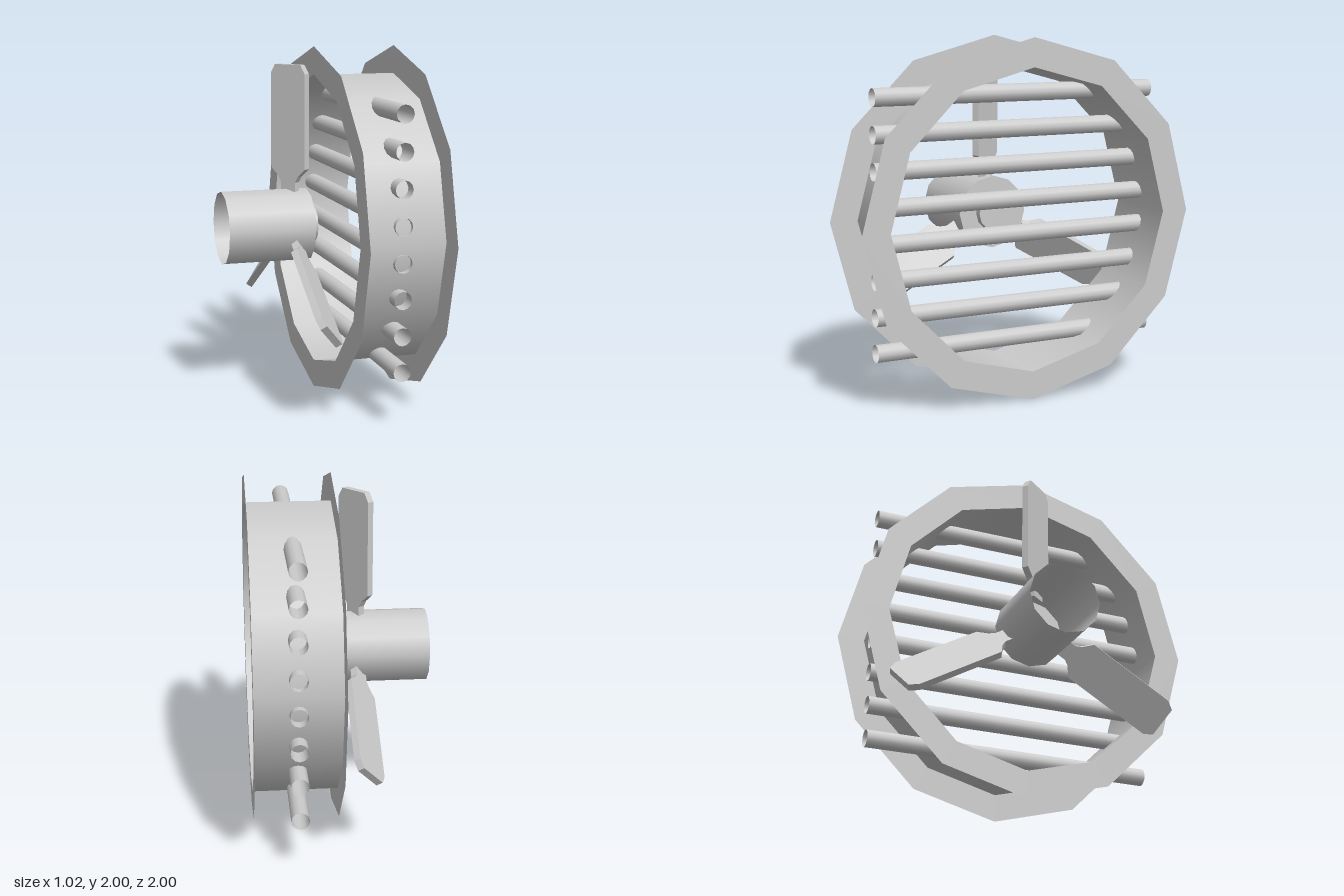
import * as THREE from 'three';

const SIDES = 12;
const HUB_Y = 0.98, HUB_Z = -0.01;

export function createModel() {
  const model = new THREE.Group();
  const sheet = new THREE.MeshStandardMaterial({ color: 0xcccccc, side: THREE.DoubleSide });
  const solid = new THREE.MeshStandardMaterial({ color: 0xcccccc, flatShading: true });

  const add = (name, geometry, material, x, y, z, parent = model) => {
    const mesh = new THREE.Mesh(geometry, material);
    mesh.name = name;
    mesh.position.set(x, y, z);
    parent.add(mesh);
    return mesh;
  };
  // open smooth tube running along x
  const tubeX = (r, length) =>
    new THREE.CylinderGeometry(r, r, length, SIDES, 1, true).rotateZ(Math.PI / 2);
  // flat disc facing +x
  const discX = (r) => new THREE.CircleGeometry(r, SIDES).rotateY(Math.PI / 2);

  // duct wall with a thin flange on each end
  add('ductWall', tubeX(0.84, 0.48), sheet, 0.27, 1, 0);
  for (const [name, x] of [['rearFlange', 0.03], ['frontFlange', 0.51]]) {
    add(name, new THREE.RingGeometry(0.84, 1, SIDES).rotateY(Math.PI / 2), sheet, x, 1, 0);
  }

  // row of open grille bars passing through the duct
  const grille = new THREE.Group();
  grille.name = 'grille';
  model.add(grille);
  const barGeometry = new THREE.CylinderGeometry(0.05, 0.05, 1.71, SIDES, 1, true).rotateX(Math.PI / 2);
  for (let i = 0; i < 8; i++) {
    add('grilleBar', barGeometry, sheet, 0.27, 0.305 + i * 0.198, -0.015, grille);
  }

  // motor housing, open at the rear, and its short shaft
  add('motorHousing', tubeX(0.21, 0.5), sheet, -0.265, HUB_Y, HUB_Z);
  add('motorFace', discX(0.21), sheet, -0.015, HUB_Y, HUB_Z);
  add('shaft', tubeX(0.105, 0.045), sheet, 0.0075, HUB_Y, HUB_Z);
  add('shaftFace', discX(0.105), sheet, 0.03, HUB_Y, HUB_Z);

  // blade outline: narrow neck, flared shoulder, clipped tip
  const half = [[0.05, 0.17], [0.05, 0.25], [0.07, 0.285], [0.12, 0.33], [0.12, 0.87], [0.09, 0.92]];
  const outline = [...half, ...half.map(([u, r]) => [-u, r]).reverse()];
  const bladeShape = new THREE.Shape(outline.map(([u, r]) => new THREE.Vector2(u, r)));
  const bladeGeometry = new THREE.ExtrudeGeometry(bladeShape, { depth: 0.04, bevelEnabled: false });
  bladeGeometry.translate(0, 0, -0.02);
  bladeGeometry.rotateY(-Math.atan2(0.8, 0.6)); // blade pitch

  // three blades around the motor axis
  const fan = new THREE.Group();
  fan.name = 'fan';
  fan.position.set(-0.11, HUB_Y, HUB_Z);
  model.add(fan);
  for (let i = 0; i < 3; i++) {
    add('blade', bladeGeometry, solid, 0, 0, 0, fan).rotation.x = (i * Math.PI * 2) / 3;
  }
  return model;
}
